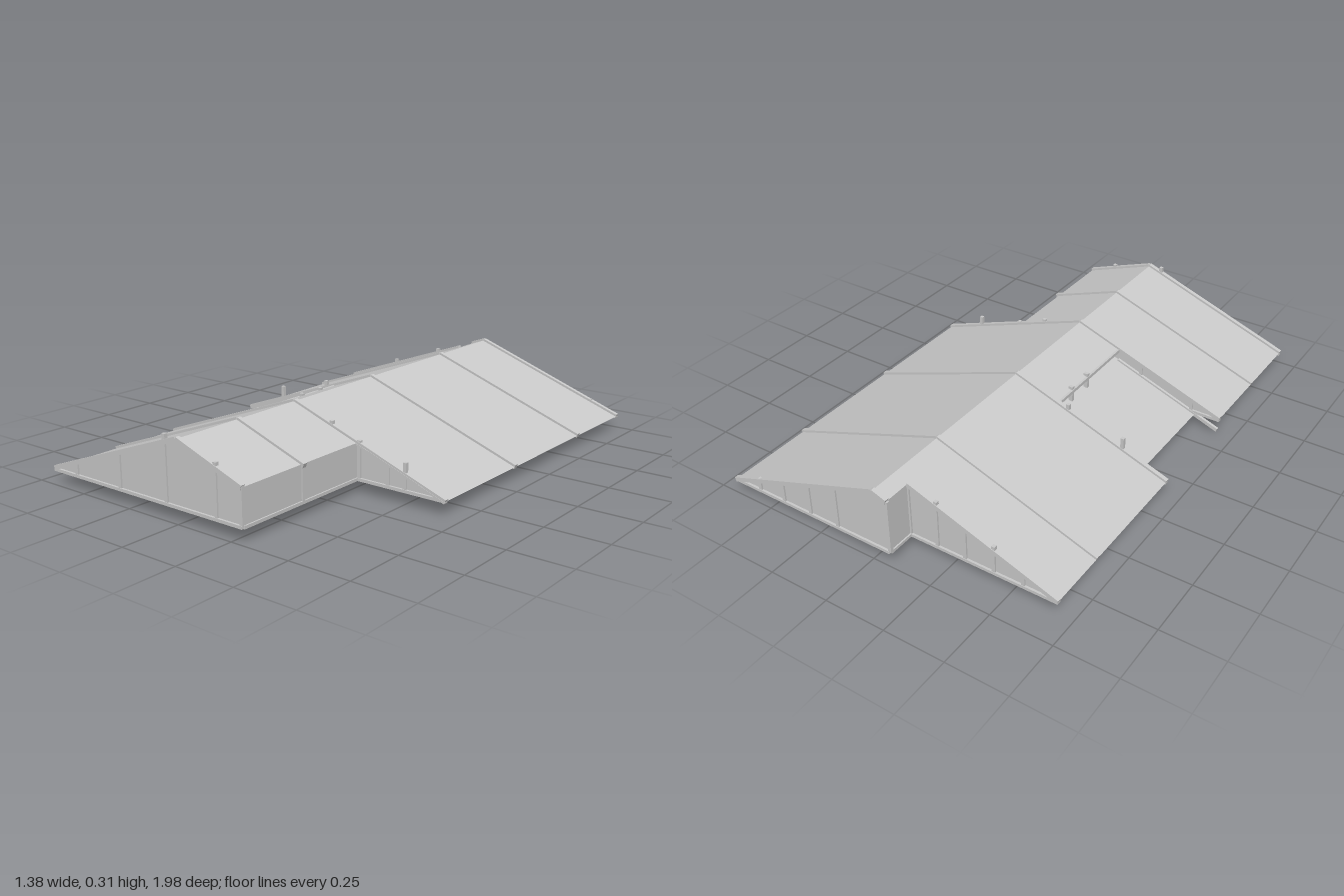
import * as THREE from 'three';

const RIDGE = -0.01, BASE = 0.062, WALL = -0.07;
const roofY = x => 0.309 - 0.36 * Math.abs(x - RIDGE);
const lowY = x => 0.052 + 0.365 * (x + 0.57);

export function createModel() {
  const model = new THREE.Group();
  const mat = new THREE.MeshStandardMaterial({ color: 0xcccccc, side: THREE.DoubleSide, flatShading: true });
  const add = (name, geo) => {
    const m = new THREE.Mesh(geo, mat);
    m.name = name;
    model.add(m);
    return m;
  };

  // thin sheet spanning a line in xy between two depths
  const sheet = (name, x0, y0, x1, y1, z0, z1) => {
    const g = new THREE.BufferGeometry();
    g.setAttribute('position', new THREE.Float32BufferAttribute(
      [x0, y0, z0, x0, y0, z1, x1, y1, z1, x1, y1, z0], 3));
    g.setIndex([0, 1, 2, 0, 2, 3]);
    g.computeVertexNormals();
    return add(name, g);
  };
  const roof = (name, x0, x1, z0, z1) => sheet(name, x0, roofY(x0), x1, roofY(x1), z0, z1);

  // square beam from point to point in one upright plane
  const beam = (name, x0, y0, x1, y1, z, t = 0.018, d = 0.018) => {
    const m = add(name, new THREE.BoxGeometry(Math.hypot(x1 - x0, y1 - y0), t, d));
    m.position.set((x0 + x1) / 2, (y0 + y1) / 2, z);
    m.rotation.z = Math.atan2(y1 - y0, x1 - x0);
  };
  // beam running along z
  const purlin = (name, x, y, z0, z1, t = 0.012) =>
    add(name, new THREE.BoxGeometry(t, t, z1 - z0)).position.set(x, y, (z0 + z1) / 2);
  const post = (x, top, z, t = 0.014) => beam('post', x, BASE, x, top, z, t, t);

  // rafters following both slopes
  const rafter = (x0, x1, z) => {
    if (x0 < RIDGE) beam('rafter', x0, roofY(x0), Math.min(x1, RIDGE), roofY(Math.min(x1, RIDGE)), z);
    if (x1 > RIDGE) beam('rafter', Math.max(x0, RIDGE), roofY(Math.max(x0, RIDGE)), x1, roofY(x1), z);
  };

  // gable wall with sill, rafters and posts
  const gable = (x0, x1, z, posts) => {
    const s = new THREE.Shape();
    s.moveTo(x0, BASE - 0.004);
    s.lineTo(x1, BASE - 0.004);
    s.lineTo(x1, roofY(x1));
    if (x0 < RIDGE && x1 > RIDGE) s.lineTo(RIDGE, roofY(RIDGE));
    s.lineTo(x0, roofY(x0));
    add('gableWall', new THREE.ShapeGeometry(s)).position.z = z;
    beam('sill', x0, BASE, x1, BASE, z, 0.012);
    rafter(x0, x1, z);
    posts.forEach(([x, extra = 0]) => post(x, roofY(x) + extra, z));
  };

  // roof slopes
  roof('rightRoof', RIDGE, 0.68, -0.99, 0.38);
  roof('ridgeStripRoof', WALL, RIDGE, -0.99, -0.87);
  roof('leftRearRoof', -0.69, RIDGE, -0.87, -0.11);
  roof('leftMiddleRoof', -0.2, RIDGE, -0.11, 0.38);
  roof('leftFrontRoof', -0.68, RIDGE, 0.38, 0.985);
  roof('rightFrontRoof', RIDGE, 0.29, 0.38, 0.985);
  sheet('loweredRoof', -0.57, lowY(-0.57), WALL, lowY(WALL), -0.11, 0.37);

  // gables
  gable(-0.68, 0.29, 0.98, [[-0.55], [-0.31], [WALL, 0.03], [0.17, 0.02], [0.285, 0.005]]);
  gable(-0.68, 0.68, 0.37, [[-0.55], [-0.31], [WALL], [0.17, 0.02], [0.3, 0.015], [0.43], [0.505, 0.045]]);
  gable(-0.69, WALL, -0.11, [[-0.495, 0.055], [-0.31], [-0.25, 0.03]]);
  gable(-0.69, WALL, -0.87, [[-0.55], [-0.43, 0.022], [-0.31], [-0.19, 0.02]]);
  gable(WALL, 0.68, -0.985, [[WALL], [0.17], [0.3], [0.43], [0.55, 0.01]]);

  // rafters between the gables
  rafter(-0.68, 0.3, 0.68);
  rafter(-0.69, 0.68, -0.62);
  rafter(WALL, 0.68, -0.11);
  beam('projectingRafter', -0.675, lowY(-0.675), -0.2, lowY(-0.2), 0.365, 0.015, 0.012);

  // side walls running along z
  sheet('innerWall', WALL, BASE, WALL, roofY(WALL), -0.985, 0.37);
  sheet('frontSideWall', 0.29, BASE, 0.29, roofY(0.29), 0.37, 0.98);
  purlin('innerWallSill', WALL, BASE, -0.985, 0.37);
  purlin('frontSideSill', 0.29, BASE, 0.37, 0.98);
  [-0.87, -0.62, -0.11].forEach(z => post(WALL, roofY(WALL), z));
  post(0.288, roofY(0.288), 0.68);

  // header above the lowered roof
  purlin('header', -0.2, roofY(-0.2) - 0.006, -0.11, 0.37, 0.014);
  [0, 0.115].forEach(z => beam('headerPost', -0.195, lowY(-0.195), -0.195, roofY(-0.195) + 0.012, z, 0.018, 0.014));

  return model;
}
